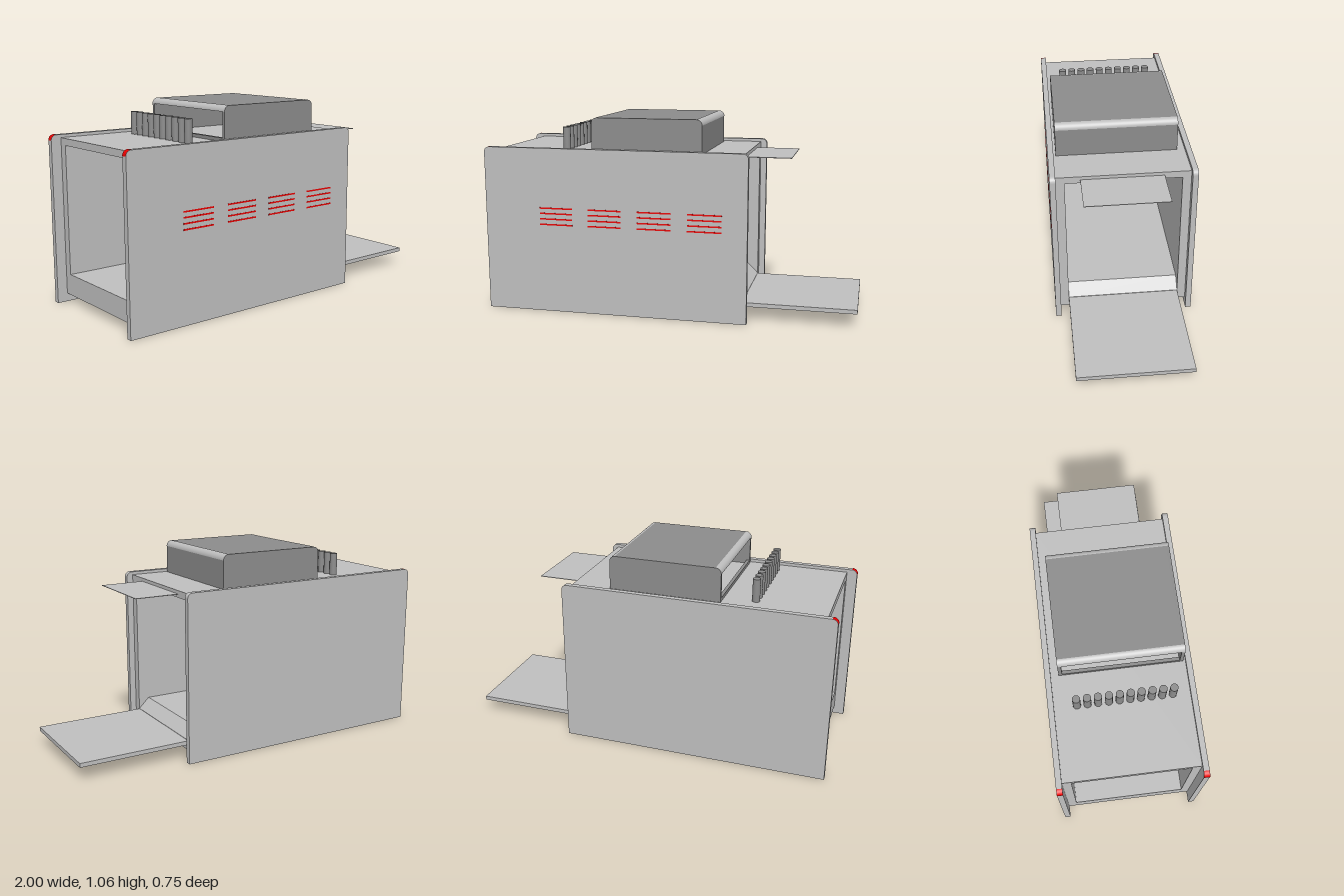
import * as THREE from 'three';

const material = (name, color) => {
  const m = new THREE.MeshStandardMaterial({ color });
  m.name = name;
  return m;
};

export function createModel() {
  const model = new THREE.Group();
  model.name = 'conveyorOven';
  const lightGrey = material('light grey', 0xbfbfbf);
  const midGrey = material('mid grey', 0x8c8c8c);
  const red = material('red', 0xff0000);

  const group = (name) => {
    const g = new THREE.Group();
    g.name = name;
    model.add(g);
    return g;
  };
  const add = (name, geometry, mat, parent = model) => {
    const mesh = new THREE.Mesh(geometry, mat);
    mesh.name = name;
    parent.add(mesh);
    return mesh;
  };
  // Box given by its limits on each axis
  const box = (name, mat, [x0, x1], [y0, y1], [z0, z1], parent) =>
    add(name, new THREE.BoxGeometry(x1 - x0, y1 - y0, z1 - z0), mat, parent)
      .position.set((x0 + x1) / 2, (y0 + y1) / 2, (z0 + z1) / 2);
  // Outline in x and y, extruded from z0 to z1
  const slab = (name, mat, shape, z0, z1, parent) => {
    const g = new THREE.ExtrudeGeometry(shape, { depth: z1 - z0, bevelEnabled: false, curveSegments: 10 });
    add(name, g, mat, parent).position.z = z0;
  };
  // Thin quarter-round skin over an upper corner, centred on x and y
  const cornerBand = (name, mat, x, y, radius, z0, z1, start, parent) => {
    const g = new THREE.CylinderGeometry(radius, radius, z1 - z0, 10, 1, true, start, Math.PI / 2);
    g.rotateX(Math.PI / 2);
    add(name, g, mat, parent).position.set(x, y, (z0 + z1) / 2);
  };
  const polygon = (points) => new THREE.Shape(points.map(([x, y]) => new THREE.Vector2(x, y)));
  // Rectangle with rounded upper corners
  const roundedTop = (x0, x1, y0, y1, r) => {
    const s = new THREE.Shape();
    s.moveTo(x0, y0);
    s.lineTo(x1, y0);
    s.lineTo(x1, y1 - r);
    s.absarc(x1 - r, y1 - r, r, 0, Math.PI / 2, false);
    s.lineTo(x0 + r, y1);
    s.absarc(x0 + r, y1 - r, r, Math.PI / 2, Math.PI, false);
    s.closePath();
    return s;
  };

  // Side panels with red rounded corners at one end
  const r = 0.028;
  for (const [side, z0] of [['front', 0.345], ['back', -0.373]]) {
    slab(side + 'Panel', lightGrey, roundedTop(-1, 0.436, 0, 0.895, r), z0, z0 + 0.03);
    cornerBand(side + 'RedCorner', red, -1 + r, 0.895 - r, r + 0.001, z0, z0 + 0.03, Math.PI);
  }

  // Open tunnel: walls, ceiling and floor with a sloping lip
  const tunnel = group('tunnel');
  const arch = new THREE.ExtrudeGeometry(polygon([
    [-0.345, 0.045], [-0.3, 0.045], [-0.3, 0.842], [0.298, 0.842],
    [0.298, 0.045], [0.343, 0.045], [0.343, 0.879], [-0.345, 0.879],
  ]), { depth: 1.347, bevelEnabled: false });
  arch.rotateY(Math.PI / 2);
  add('wallsAndCeiling', arch, lightGrey, tunnel).position.x = -0.945;
  slab('floor', lightGrey, polygon([
    [-0.945, 0.045], [0.402, 0.045], [0.402, 0.1], [0.342, 0.157], [-0.945, 0.157],
  ]), -0.298, 0.3, tunnel);

  // Lower tray and thin upper shelf
  box('tray', lightGrey, [0.4, 1], [0.076, 0.098], [-0.298, 0.3]);
  box('shelf', lightGrey, [0.4, 0.638], [0.858, 0.861], [-0.206, 0.221]);

  // Hood, open toward -x, with light rounded edges
  const hood = group('hood');
  const t = 0.018, left = -0.405, right = 0.19, top = 1.058, h = 0.03, back = -0.302, front = 0.333;
  for (const z of [back, front - t])
    slab('hoodSide', midGrey, roundedTop(left, right, 0.879, top, h), z, z + t, hood);
  const roof = new THREE.Shape();
  roof.moveTo(right - t, 0.879);
  roof.lineTo(right, 0.879);
  roof.lineTo(right, top - h);
  roof.absarc(right - h, top - h, h, 0, Math.PI / 2, false);
  roof.lineTo(left + h, top);
  roof.absarc(left + h, top - h, h, Math.PI / 2, Math.PI, false);
  roof.lineTo(right - t, top - h);
  roof.closePath();
  slab('hoodRoof', midGrey, roof, back + t, front - t, hood);
  box('hoodLip', midGrey, [left, left + t], [0.879, 0.897], [back + t, front - t], hood);
  cornerBand('hoodOpenEdge', lightGrey, left + h, top - h, h + 0.001, back, front, Math.PI, hood);
  cornerBand('hoodClosedEdge', lightGrey, right - h, top - h, h + 0.001, back, front, Math.PI / 2, hood);

  // Row of upright pins
  const pinGeometry = new THREE.CylinderGeometry(0.02, 0.02, 0.12, 20);
  for (let i = 0; i < 10; i++)
    add('pin', pinGeometry, midGrey).position.set(-0.569, 0.94, -0.228 + i * 0.0537);

  // Four groups of thin red vent slats on the front panel
  for (let g = 0; g < 4; g++) {
    const vent = group('vent');
    const x = -0.69 + g * 0.27;
    for (const y of [0.572, 0.543, 0.513, 0.483])
      box('slat', red, [x, x + 0.183], [y - 0.004, y + 0.004], [0.37, 0.376], vent);
  }
  return model;
}
